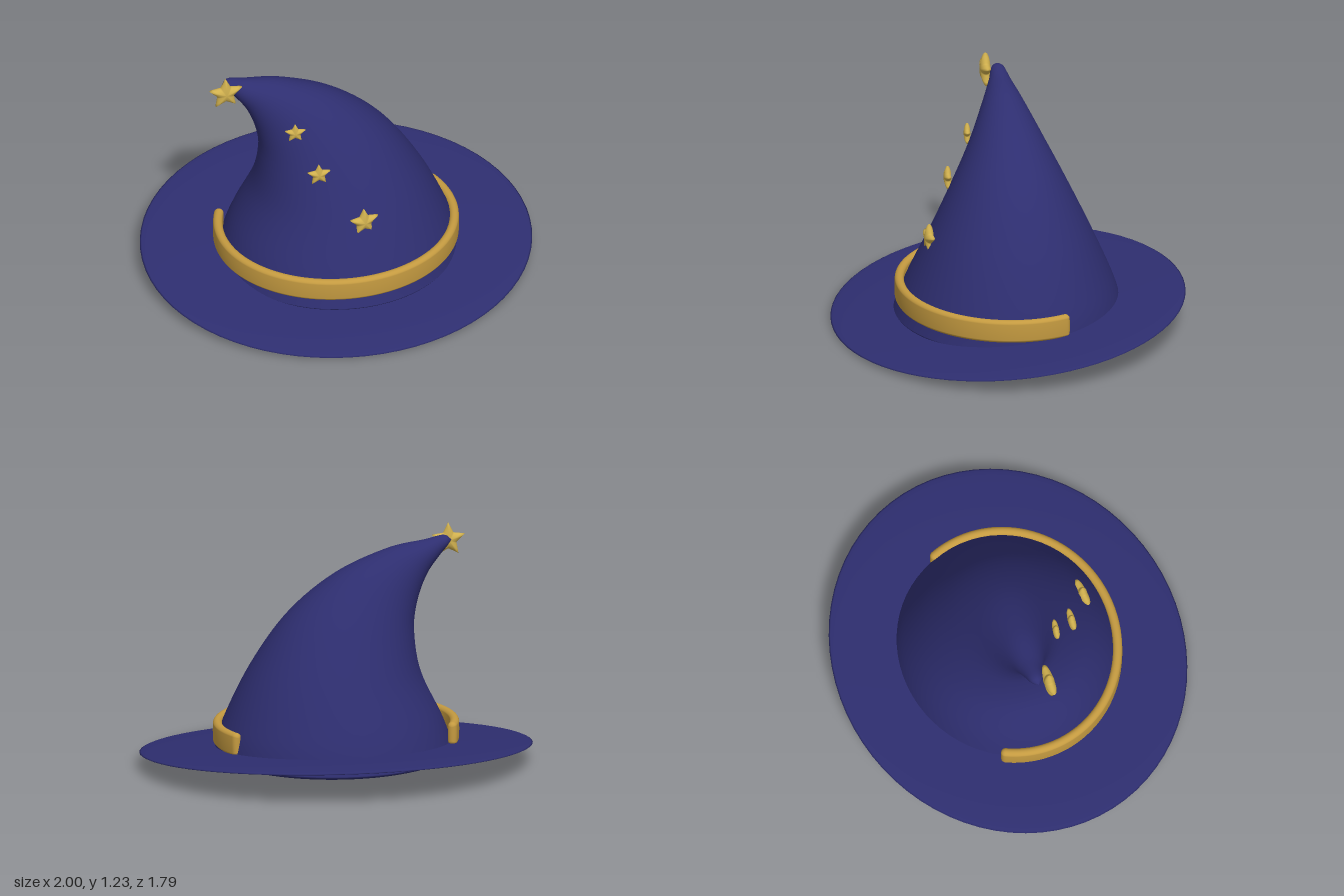
import * as THREE from 'three';
import { mergeVertices } from 'three/addons/utils/BufferGeometryUtils.js';

// Smooth surface from a rule fn(u, v) -> [x, y, z], with seams welded
function surface(nu, nv, fn) {
  const pos = [], idx = [];
  for (let j = 0; j <= nv; j++)
    for (let i = 0; i <= nu; i++) pos.push(...fn(i / nu, j / nv));
  for (let j = 0; j < nv; j++)
    for (let i = 0; i < nu; i++) {
      const a = j * (nu + 1) + i, b = a + 1, c = a + nu + 1, d = c + 1;
      idx.push(a, b, c, b, d, c);
    }
  const g = new THREE.BufferGeometry();
  g.setAttribute('position', new THREE.Float32BufferAttribute(pos, 3));
  g.setIndex(idx);
  const merged = mergeVertices(g, 1e-5);
  merged.computeVertexNormals();
  return merged;
}

// Bent cone: each row is a cross-section [leftX, leftY, rightX, rightY, half depth]
function crownGeometry() {
  const rows = [
    [-0.60, 0.08, 0.62, 0.08, 0.58],
    [-0.54, 0.245, 0.575, 0.245, 0.523],
    [-0.43, 0.48, 0.437, 0.533, 0.405],
    [-0.395, 0.69, 0.25, 0.8, 0.285],
    [-0.41, 0.84, 0.01, 1.0, 0.185],
    [-0.46, 0.98, -0.256, 1.12, 0.105],
    [-0.525, 1.075, -0.45, 1.16, 0.055],
    [-0.565, 1.122, -0.55, 1.18, 0.033],
    [-0.59, 1.155, -0.59, 1.155, 0],
  ];
  const left = new THREE.CatmullRomCurve3(rows.map(r => new THREE.Vector3(r[0], r[1], r[4])), false, 'catmullrom', 0.5);
  const right = new THREE.CatmullRomCurve3(rows.map(r => new THREE.Vector3(r[2], r[3], 0)), false, 'catmullrom', 0.5);
  return surface(64, 64, (u, v) => {
    const a = u * Math.PI * 2, s = (1 + Math.sin(a)) / 2;
    const l = left.getPoint(v), r = right.getPoint(v);
    return [
      l.x + (r.x - l.x) * s,
      l.y + (r.y - l.y) * s,
      -0.036 * Math.min(1, v * 1.3) + Math.max(0, l.z) * Math.cos(a),
    ];
  });
}

// Open band with a rounded section and rounded ends, wrapped around the front
function bandGeometry() {
  const reach = 1.99, round = 0.024;
  return surface(96, 24, (u, v) => {
    const a = -reach * Math.cos(Math.PI * u), s = v * Math.PI * 2;
    const e = Math.min(1, (reach - Math.abs(a)) * 0.58 / round);
    const k = Math.sqrt(Math.max(0, 1 - (1 - e) ** 2));
    const out = round * k * Math.cos(s), sn = Math.sin(s);
    const y = (Math.abs(sn) < 1e-6 ? 0 : Math.sign(sn) * 0.036) + round * k * sn;
    return [(0.602 + out) * Math.sin(a), 0.185 + y, (0.549 + out) * Math.cos(a)];
  });
}

// Puffy five-pointed star of radius 1, facing +z
function starGeometry() {
  const inner = 0.5, half = Math.PI / 5;
  return surface(60, 14, (u, v) => {
    const a = u * Math.PI * 2, phi = (v - 0.5) * Math.PI;
    const f = Math.abs(((u * 5) % 1 + 1) % 1 * 2 - 1); // 1 at points, 0 at notches
    const w = (1 - f) * half;
    // straight edge between point and notch
    const r = inner * Math.sin(half) / (Math.sin(half - w) * inner + Math.sin(w));
    const c = Math.cos(phi), t = a + Math.PI / 2;
    return [r * c * Math.cos(t), r * c * Math.sin(t), 0.3 * Math.sin(phi)];
  });
}

export function createModel() {
  const hat = new THREE.Group();
  hat.name = 'pointedHat';
  const mat = (name, color) => {
    const m = new THREE.MeshStandardMaterial({ color });
    m.name = name;
    return m;
  };
  const navy = mat('navyCloth', 0x2e2e70);
  const gold = mat('goldBand', 0xc49a40);
  const pale = mat('paleGoldStar', 0xd0b04e);
  const add = (name, geometry, material) => {
    const m = new THREE.Mesh(geometry, material);
    m.name = name;
    hat.add(m);
    return m;
  };

  // Tilted lens-shaped brim
  const brim = add('brim', new THREE.SphereGeometry(1, 72, 24), navy);
  brim.scale.set(1, 0.03, 0.9);
  brim.position.y = 0.093;
  brim.rotation.x = 0.093;

  // Crown and its shallow domed underside
  add('crown', crownGeometry(), navy);
  const base = add('crownUnderside',
    new THREE.SphereGeometry(1, 64, 12, 0, Math.PI * 2, Math.PI / 2, Math.PI / 2), navy);
  base.scale.set(0.61, 0.06, 0.58);
  base.position.set(0.01, 0.08, 0);

  add('band', bandGeometry(), gold);

  // Stars: name, x, y, z, radius, turn
  const star = starGeometry();
  for (const [name, x, y, z, r, turn] of [
    ['tipStar', -0.585, 1.14, 0.022, 0.09, 0],
    ['upperStar', -0.26, 0.93, 0.168, 0.056, -0.12],
    ['middleStar', -0.167, 0.733, 0.283, 0.063, -0.04],
    ['lowerStar', 0.035, 0.488, 0.41, 0.08, 0.12],
  ]) {
    const m = add(name, star, pale);
    m.position.set(x, y, z);
    m.scale.setScalar(r);
    m.rotation.y = turn;
  }
  return hat;
}
